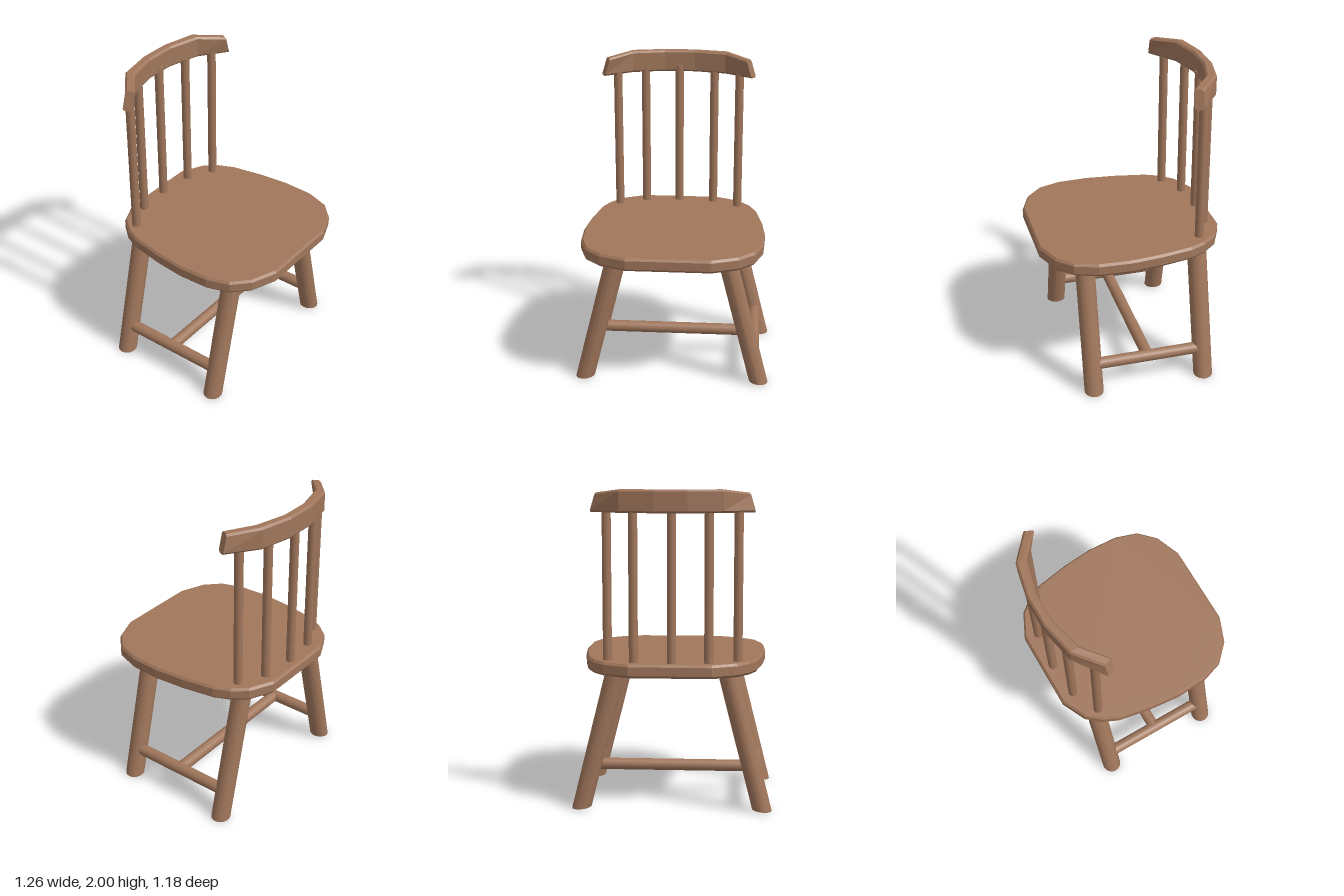
import * as THREE from 'three';

const wood = new THREE.MeshStandardMaterial({ color: 0xa0765b });
wood.name = 'brown wood';

function add(group, name, geometry) {
  const mesh = new THREE.Mesh(geometry, wood);
  mesh.name = name;
  group.add(mesh);
  return mesh;
}

// Round bar between two points
function bar(group, name, from, to, radius) {
  const a = new THREE.Vector3(...from), b = new THREE.Vector3(...to);
  const dir = b.clone().sub(a);
  const mesh = add(group, name, new THREE.CylinderGeometry(radius, radius, dir.length(), 16));
  mesh.position.copy(a).add(b).multiplyScalar(0.5);
  mesh.quaternion.setFromUnitVectors(new THREE.Vector3(0, 1, 0), dir.normalize());
}

// Splayed leg: an upright cylinder sheared sideways, so its foot stays almost level
function legGeometry(side) {
  const height = 0.9;
  const geo = new THREE.CylinderGeometry(0.062, 0.062, height, 20);
  geo.translate(0, height / 2, 0);
  const p = geo.attributes.position;
  for (let i = 0; i < p.count; i++) {
    const x = p.getX(i), y = p.getY(i);
    p.setX(i, x + side * (0.568 - 0.25 * y));
    if (y < 0.01) p.setY(i, 0.006 - side * x * 0.09);
  }
  geo.computeVertexNormals();
  return geo;
}

// Seat slab with chamfered rim, outlined from one half
function seatGeometry() {
  const half = [
    [0.255, -0.594], [0.41, -0.52], [0.485, -0.43], [0.53, -0.33], [0.568, -0.12],
    [0.587, 0.08], [0.578, 0.28], [0.53, 0.425], [0.43, 0.523], [0.265, 0.588],
  ];
  const outline = [...half, ...half.map(([x, z]) => [-x, z]).reverse()];
  const shape = new THREE.Shape(outline.map(([x, z]) => new THREE.Vector2(x, z)));
  const geo = new THREE.ExtrudeGeometry(shape, {
    depth: 0.054, bevelEnabled: true, bevelSegments: 1,
    bevelThickness: 0.015, bevelSize: 0.012, bevelOffset: -0.012,
  });
  geo.rotateX(Math.PI / 2);
  geo.translate(0, 0.937, 0);
  return geo;
}

// Curved top rail lofted through chamfered sections
function railGeometry() {
  const low = 1.86, c = 0.012;
  // front x, front z, back x, back z, top height, narrowing towards the top
  const right = [
    [0.1, -0.51, 0.1, -0.57, 2.0, 0],
    [0.305, -0.458, 0.315, -0.525, 2.0, 0],
    [0.48, -0.334, 0.508, -0.388, 1.978, 0.035],
  ];
  const left = right.map(([fx, fz, bx, bz, t, n]) => [-fx, fz, -bx, bz, t, -n]).reverse();
  const rings = [...left, ...right].map(([fx, fz, bx, bz, top, narrow]) =>
    [[0.18, low], [0, low + c], [0, top - c], [0.18, top],
      [0.82, top], [1, top - c], [1, low + c], [0.82, low]].map(([u, y]) => [
      fx + (bx - fx) * u - narrow * (y - low) / (top - low), y, fz + (bz - fz) * u,
    ]));
  const pos = [];
  const tri = (...pts) => pts.forEach((p) => pos.push(...p));
  const n = 8, last = rings.length - 1;
  for (let i = 0; i < last; i++) {
    for (let j = 0; j < n; j++) {
      const k = (j + 1) % n, A = rings[i], B = rings[i + 1];
      tri(A[j], B[j], B[k]);
      tri(A[j], B[k], A[k]);
    }
  }
  for (let j = 1; j < n - 1; j++) {
    tri(rings[0][0], rings[0][j], rings[0][j + 1]);
    tri(rings[last][0], rings[last][j + 1], rings[last][j]);
  }
  const geo = new THREE.BufferGeometry();
  geo.setAttribute('position', new THREE.Float32BufferAttribute(pos, 3));
  geo.computeVertexNormals();
  geo.translate(-0.005, 0, 0);
  return geo;
}

export function createModel() {
  const chair = new THREE.Group();
  chair.name = 'chair';

  add(chair, 'seat', seatGeometry());
  add(chair, 'topRail', railGeometry());

  // Legs and side stretchers
  for (const side of [-1, 1]) {
    const label = side > 0 ? 'left' : 'right';
    add(chair, label + 'FrontLeg', legGeometry(side)).position.z = 0.32;
    add(chair, label + 'BackLeg', legGeometry(side)).position.z = -0.42;
    bar(chair, label + 'Stretcher', [side * 0.53, 0.188, -0.4], [side * 0.53, 0.188, 0.3], 0.038);
  }

  // Stretcher joining the two sides
  bar(chair, 'crossStretcher', [-0.53, 0.188, -0.05], [0.53, 0.188, -0.05], 0.038);

  // Back spindles
  const spindles = [[-0.41, -0.42], [-0.233, -0.505], [-0.008, -0.527], [0.227, -0.505], [0.396, -0.42]];
  for (const [x, z] of spindles) bar(chair, 'spindle', [x, 0.92, z], [x, 1.9, z], 0.028);

  return chair;
}
